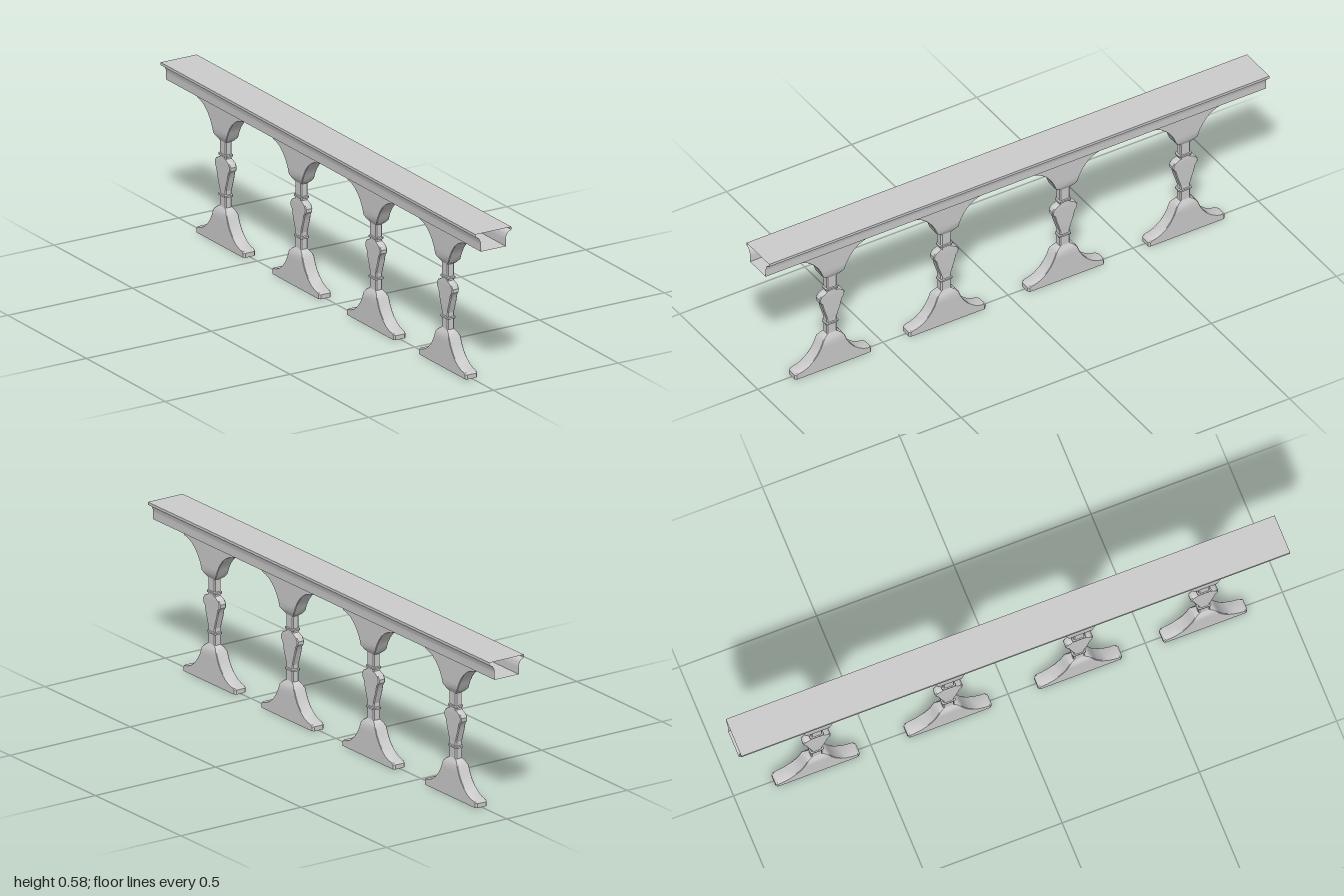
import * as THREE from 'three';
import { toCreasedNormals } from 'three/addons/utils/BufferGeometryUtils.js';

const material = new THREE.MeshStandardMaterial({ color: 0xcccccc, side: THREE.DoubleSide });

// Open skin through a list of equal-length closed loops of [x, y, z]
function skin(name, loops) {
  const n = loops[0].length;
  const index = [];
  for (let r = 0; r < loops.length - 1; r++) {
    for (let i = 0; i < n; i++) {
      const j = (i + 1) % n;
      const a = r * n + i, b = r * n + j, c = b + n, d = a + n;
      index.push(a, d, b, b, d, c);
    }
  }
  const g = new THREE.BufferGeometry();
  g.setAttribute('position', new THREE.Float32BufferAttribute(loops.flat(2), 3));
  g.setIndex(index);
  const mesh = new THREE.Mesh(toCreasedNormals(g, 0.5), material);
  mesh.name = name;
  return mesh;
}

// Chamfered rectangle at height y: half width hx, half depth hz, chamfer c
function section([y, hx, hz, c]) {
  return [
    [hx, y, -hz + c], [hx, y, hz - c], [hx - c, y, hz], [-hx + c, y, hz],
    [-hx, y, hz - c], [-hx, y, -hz + c], [-hx + c, y, -hz], [hx - c, y, -hz],
  ];
}
const stack = (name, rows) => skin(name, rows.map(section));

// Flared foot: blunt toes, concave sweep, shoulder into the stem
const footRows = [
  [0, 0.024, 0.153, 0.006], [0.016, 0.024, 0.153, 0.006], [0.021, 0.024, 0.147, 0.006],
  [0.025, 0.024, 0.125, 0.003], [0.034, 0.024, 0.104, 0.002], [0.05, 0.024, 0.083, 0.002],
  [0.07, 0.024, 0.066, 0.002], [0.092, 0.024, 0.053, 0.002], [0.117, 0.024, 0.043, 0.002],
  [0.128, 0.018, 0.034, 0.003], [0.137, 0.0135, 0.021, 0.004],
];
// The bracket under the rail is the foot turned over
const bracketRows = footRows.map(([y, ...rest]) => [0.51 - y, ...rest]).reverse();

const stemRows = [[0.135, 0.0135, 0.02, 0.004], [0.375, 0.0135, 0.02, 0.004]];

// Flattened vase in the middle of the stem
const vaseRows = [
  [0.192, 0.0125, 0.018, 0.003], [0.2, 0.0135, 0.021, 0.003], [0.217, 0.014, 0.026, 0.003],
  [0.24, 0.014, 0.034, 0.003], [0.268, 0.014, 0.041, 0.003], [0.277, 0.014, 0.049, 0.003],
  [0.29, 0.014, 0.05, 0.003], [0.301, 0.014, 0.043, 0.003], [0.308, 0.0135, 0.03, 0.003],
  [0.313, 0.0125, 0.019, 0.003],
];

const collarRows = (y) => [
  [y - 0.005, 0.0135, 0.02, 0.004], [y - 0.003, 0.017, 0.025, 0.005],
  [y + 0.003, 0.017, 0.025, 0.005], [y + 0.005, 0.0135, 0.02, 0.004],
];

function createBaluster() {
  const g = new THREE.Group();
  g.name = 'baluster';
  g.add(
    stack('foot', footRows),
    stack('stem', stemRows),
    stack('lowerCollar', collarRows(0.178)),
    stack('vase', vaseRows),
    stack('upperCollar', collarRows(0.323)),
    stack('bracket', bracketRows),
  );
  return g;
}

// Handrail: flat top, thin lip, cove and narrower base, open at both ends
function createHandrail() {
  const side = [[0.072, 0.576], [0.072, 0.566]];
  for (let i = 0; i <= 6; i++) {
    const t = (i / 6) * Math.PI / 2;
    side.push([0.068 - 0.018 * Math.sin(t), 0.535 + 0.029 * Math.cos(t)]);
  }
  side.push([0.05, 0.51]);
  const profile = [...side, ...side.map(([x, y]) => [-x, y]).reverse()];
  return skin('handrail', [-1, 1].map((z) => profile.map(([x, y]) => [x, y, z])));
}

export function createModel() {
  const model = new THREE.Group();
  model.name = 'balustrade';
  model.add(createHandrail());
  for (const z of [0.711, 0.255, -0.22, -0.701]) {
    const baluster = createBaluster();
    baluster.position.z = z;
    model.add(baluster);
  }
  return model;
}
